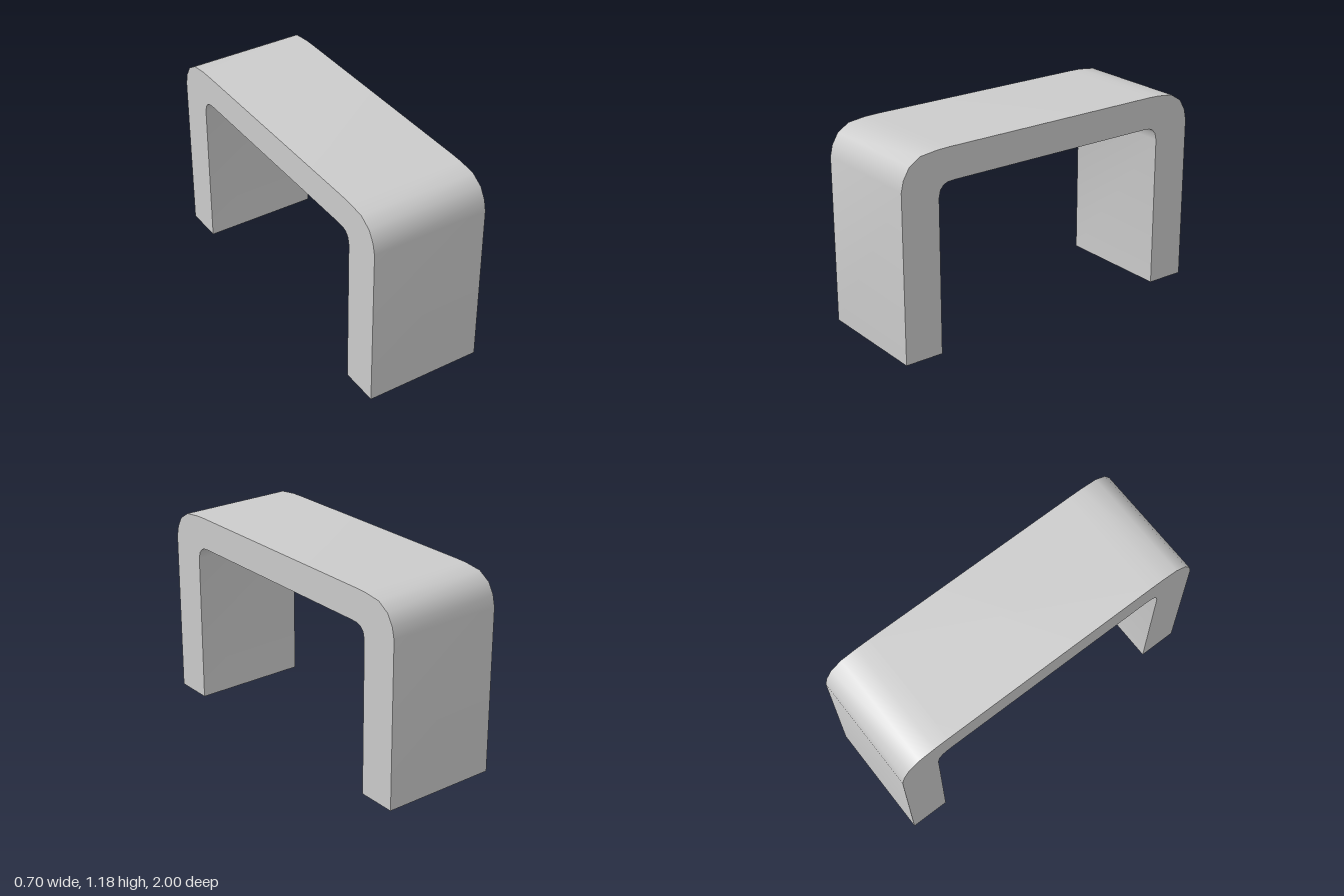
import * as THREE from 'three';
import { toCreasedNormals } from 'three/addons/utils/BufferGeometryUtils.js';

const WIDTH = 0.704;

// Half profiles as [z, y], from the foot up and round the corner
const OUTER = [[1, 0], [1, 0.99], [0.985, 1.055], [0.948, 1.118], [0.877, 1.163], [0.77, 1.176], [0.69, 1.178]];
const INNER = [[0.767, 0], [0.767, 0.91], [0.757, 0.952], [0.735, 0.977], [0.71, 0.987], [0.67, 0.99]];

const mirror = (points) => points.map(([z, y]) => [-z, y]).reverse();

export function createModel() {
  const group = new THREE.Group();
  group.name = 'bench';

  // Arch outline: over the outside, then back along the inside
  const outside = [...OUTER, ...mirror(OUTER)];
  const inside = [...INNER, ...mirror(INNER)].reverse();
  const outline = [...outside, ...inside].map(([z, y]) => new THREE.Vector2(z, y));

  // Sweep the outline across the width, with soft corners and sharp sides
  const arch = new THREE.ExtrudeGeometry(new THREE.Shape(outline), { depth: WIDTH, bevelEnabled: false });
  arch.translate(0, 0, -WIDTH / 2);
  arch.rotateY(-Math.PI / 2);

  const mesh = new THREE.Mesh(
    toCreasedNormals(arch, 0.9),
    new THREE.MeshStandardMaterial({ color: 0xcccccc })
  );
  mesh.name = 'seatAndLegs';
  group.add(mesh);
  return group;
}
